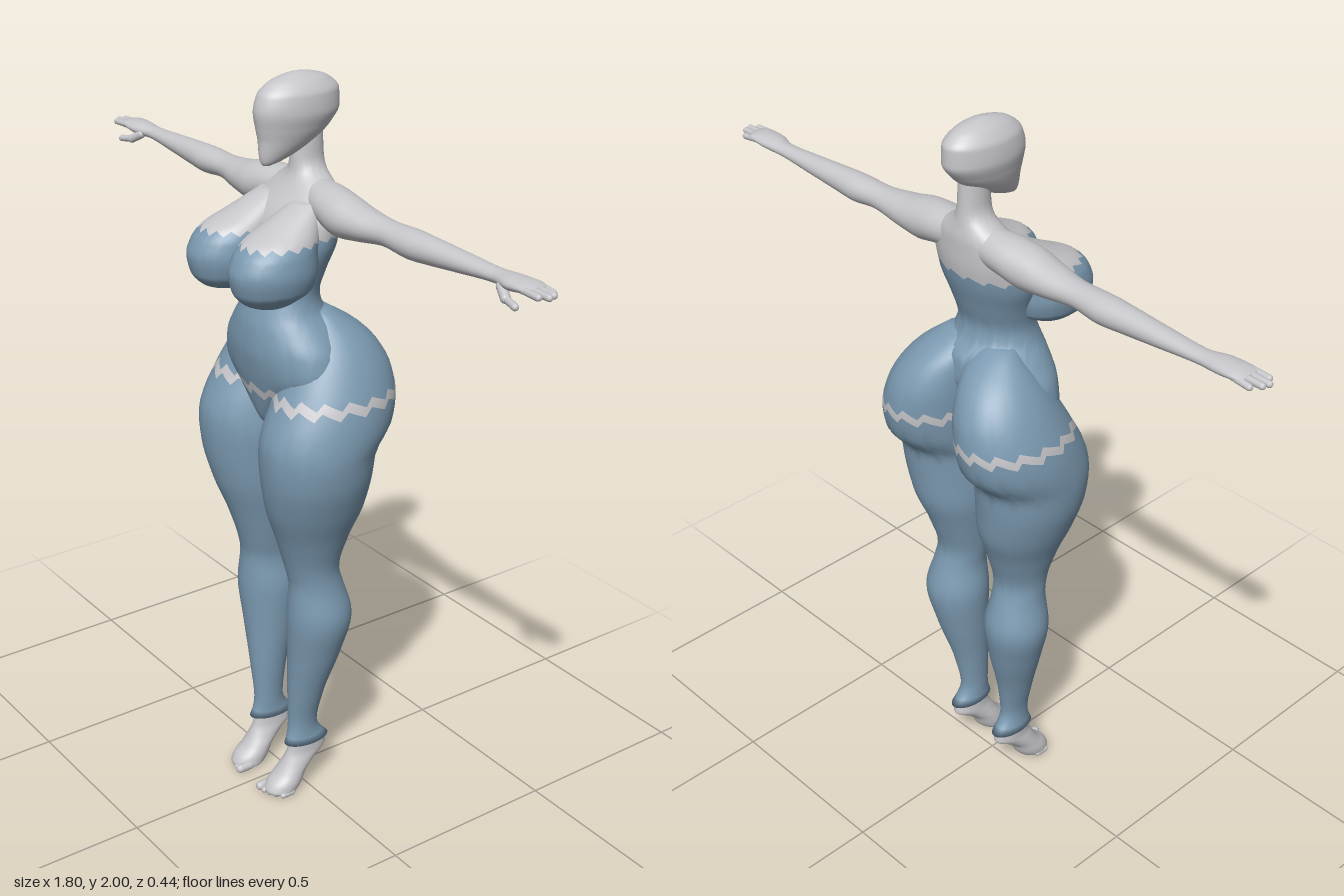
import * as THREE from 'three';

const skin = new THREE.MeshStandardMaterial({ color: 0xc6c6ca });
skin.name = 'pale grey skin';
const suit = new THREE.MeshStandardMaterial({ color: 0x7b99b0, side: THREE.DoubleSide });
suit.name = 'dusty blue suit';

const SEG = 60;

// Smooth value of column k of the cross-section rows at height y
function sample(rows, y, k) {
  let i = 0;
  while (i < rows.length - 2 && y > rows[i + 1][0]) i++;
  const slope = (a, b) => (rows[b][k] - rows[a][k]) / (rows[b][0] - rows[a][0]);
  const tangent = n => {
    if (n === 0) return slope(0, 1);
    if (n === rows.length - 1) return slope(n - 1, n);
    const p = slope(n - 1, n), q = slope(n, n + 1);
    return p * q <= 0 ? 0 : 2 * p * q / (p + q);
  };
  const h = rows[i + 1][0] - rows[i][0];
  const t = Math.min(1, Math.max(0, (y - rows[i][0]) / h));
  const t2 = t * t, t3 = t2 * t;
  return (2 * t3 - 3 * t2 + 1) * rows[i][k] + (t3 - 2 * t2 + t) * h * tangent(i)
    + (3 * t2 - 2 * t3) * rows[i + 1][k] + (t3 - t2) * h * tangent(i + 1);
}

// Saw-toothed edge of a garment
const jag = (cut, j) => cut[0] + cut[1] * ((j % 4) / 1.5 - 1);

// Surface through rows [height, xMin, xMax, zFront, zBack] between two edges
function patch(rows, low, high, capLow, capHigh) {
  const pos = [], idx = [];
  const n = Math.max(3, Math.ceil((high[0] - low[0]) / (rows.at(-1)[0] - rows[0][0]) * 64));
  for (let i = 0; i <= n; i++) {
    for (let j = 0; j < SEG; j++) {
      const y = THREE.MathUtils.lerp(jag(low, j), jag(high, j), i / n);
      const [x0, x1, zf, zb] = [1, 2, 3, 4].map(k => sample(rows, y, k));
      const a = j / SEG * Math.PI * 2;
      pos.push((x0 + x1) / 2 + (x1 - x0) / 2 * Math.cos(a), y,
        (zf + zb) / 2 + (zf - zb) / 2 * Math.sin(a));
      if (i < n) {
        const p = i * SEG + j, q = i * SEG + (j + 1) % SEG;
        idx.push(p, p + SEG, q, q, p + SEG, q + SEG);
      }
    }
  }
  const cap = (row, ring, up) => {
    const c = pos.length / 3;
    pos.push((row[1] + row[2]) / 2, row[0], (row[3] + row[4]) / 2);
    for (let j = 0; j < SEG; j++) {
      const p = ring * SEG + j, q = ring * SEG + (j + 1) % SEG;
      idx.push(c, ...(up ? [q, p] : [p, q]));
    }
  };
  if (capLow) cap(rows[0], 0, false);
  if (capHigh) cap(rows.at(-1), n, true);
  const geo = new THREE.BufferGeometry();
  geo.setAttribute('position', new THREE.Float32BufferAttribute(pos, 3));
  geo.setIndex(idx);
  geo.computeVertexNormals();
  return geo;
}

// Loft cut into coloured bands
function loft(name, rows, mats, cuts = []) {
  const group = new THREE.Group();
  group.name = name;
  const edges = [[rows[0][0], 0], ...cuts, [rows.at(-1)[0], 0]];
  mats.forEach((mat, i) => {
    const geo = patch(rows, edges[i], edges[i + 1], i === 0, i === mats.length - 1);
    const mesh = new THREE.Mesh(geo, mat);
    mesh.name = name + (mat === suit ? 'Suit' : 'Skin');
    group.add(mesh);
  });
  return group;
}

const mirror = (rows, s) => s > 0 ? rows : rows.map(([y, a, b, f, k]) => [y, -b, -a, f, k]);
const centred = rows => rows.map(([y, r, f, k]) => [y, -r, r, f, k]);

// Rounded rod between two points, used for the digits
function digit(name, from, to, radius) {
  const a = new THREE.Vector3(...from), b = new THREE.Vector3(...to);
  const d = b.clone().sub(a);
  const mesh = new THREE.Mesh(new THREE.CapsuleGeometry(radius, d.length(), 6, 12), skin);
  mesh.position.copy(a).add(b).multiplyScalar(0.5);
  mesh.quaternion.setFromUnitVectors(new THREE.Vector3(0, 1, 0), d.normalize());
  mesh.name = name;
  return mesh;
}

const headRows = centred([
  [1.782, 0.01, 0.072, 0.05], [1.79, 0.02, 0.077, 0.02], [1.81, 0.034, 0.08, -0.03],
  [1.84, 0.049, 0.081, -0.085], [1.87, 0.06, 0.086, -0.122], [1.91, 0.069, 0.092, -0.147],
  [1.95, 0.065, 0.082, -0.146], [1.98, 0.045, 0.05, -0.118], [1.995, 0.022, 0.005, -0.075],
  [2.0, 0.003, -0.025, -0.035]]);

const torsoRows = centred([
  [1.08, 0.02, 0.05, -0.05], [1.12, 0.05, 0.085, -0.08], [1.2, 0.15, 0.108, -0.1],
  [1.26, 0.2, 0.122, -0.1], [1.32, 0.19, 0.13, -0.12], [1.38, 0.15, 0.126, -0.115],
  [1.42, 0.118, 0.115, -0.08], [1.46, 0.108, 0.1, -0.07], [1.52, 0.12, 0.09, -0.085],
  [1.6, 0.145, 0.08, -0.108], [1.66, 0.148, 0.055, -0.115], [1.71, 0.125, 0.015, -0.115],
  [1.74, 0.08, -0.005, -0.11], [1.76, 0.048, -0.012, -0.107], [1.79, 0.036, -0.014, -0.104],
  [1.86, 0.034, -0.02, -0.1]]);

const breastRows = [
  [1.455, 0.085, 0.105, 0.125, 0.1], [1.462, 0.06, 0.13, 0.16, 0.07],
  [1.475, 0.035, 0.15, 0.19, 0.04], [1.505, 0.008, 0.178, 0.216, 0], [1.55, 0, 0.187, 0.225, -0.01],
  [1.59, 0.002, 0.181, 0.211, -0.01], [1.62, 0.008, 0.168, 0.182, -0.02],
  [1.65, 0.015, 0.147, 0.12, -0.03], [1.7, 0.03, 0.11, 0.02, -0.05]];

const legRows = [
  [0.145, 0.048, 0.122, 0.064, -0.074], [0.17, 0.05, 0.117, 0.055, -0.052],
  [0.2, 0.05, 0.115, 0.05, -0.037], [0.3, 0.045, 0.135, 0.054, -0.05],
  [0.45, 0.035, 0.18, 0.06, -0.09], [0.56, 0.03, 0.205, 0.066, -0.11],
  [0.66, 0.045, 0.184, 0.062, -0.085], [0.7, 0.04, 0.181, 0.07, -0.075],
  [0.8, 0.022, 0.205, 0.1, -0.1], [0.9, 0.005, 0.245, 0.136, -0.135],
  [1, 0, 0.275, 0.156, -0.146], [1.06, -0.002, 0.281, 0.16, -0.152],
  [1.09, -0.002, 0.282, 0.159, -0.178], [1.13, -0.002, 0.28, 0.148, -0.207],
  [1.2, 0, 0.268, 0.113, -0.22], [1.26, 0, 0.245, 0.083, -0.214],
  [1.32, 0, 0.212, 0.05, -0.188], [1.37, 0, 0.17, 0.02, -0.145], [1.42, 0.02, 0.11, -0.01, -0.07]];

const footRows = [
  [0, 0.055, 0.11, 0.105, 0.05], [0.012, 0.038, 0.127, 0.128, 0.03],
  [0.03, 0.038, 0.128, 0.12, 0.016], [0.06, 0.041, 0.124, 0.09, 0.002],
  [0.09, 0.047, 0.12, 0.07, -0.03], [0.12, 0.052, 0.116, 0.056, -0.067],
  [0.15, 0.055, 0.115, 0.05, -0.06], [0.19, 0.057, 0.11, 0.045, -0.032]];

// Arm sections run outward: [x, -top, -bottom, zFront, zBack]
const armRows = [
  [0.05, -1.745, -1.65, -0.01, -0.105], [0.12, -1.742, -1.64, 0.008, -0.11],
  [0.18, -1.735, -1.627, 0.014, -0.106], [0.25, -1.72, -1.635, 0.004, -0.1],
  [0.35, -1.71, -1.647, -0.015, -0.09], [0.43, -1.712, -1.64, -0.014, -0.095],
  [0.5, -1.71, -1.645, -0.02, -0.091], [0.6, -1.705, -1.655, -0.028, -0.088],
  [0.72, -1.7, -1.666, -0.036, -0.084], [0.78, -1.704, -1.668, -0.021, -0.09],
  [0.82, -1.703, -1.675, -0.02, -0.092], [0.85, -1.697, -1.681, -0.025, -0.088]];

export function createModel() {
  const model = new THREE.Group();
  model.name = 'figure';
  const neckline = [1.615, 0.006], bandLow = [1.192, 0.01], bandHigh = [1.216, 0.01];

  model.add(loft('head', headRows, [skin]));
  model.add(loft('torso', torsoRows, [suit, skin, suit, skin], [bandLow, bandHigh, neckline]));

  for (const s of [1, -1]) {
    const side = s > 0 ? 'left' : 'right';
    model.add(loft(side + 'Breast', mirror(breastRows, s), [suit, skin], [neckline]));
    model.add(loft(side + 'Leg', mirror(legRows, s), [suit, skin, suit], [bandLow, bandHigh]));
    model.add(loft(side + 'Foot', mirror(footRows, s), [skin]));

    // Toes, big toe innermost
    for (let i = 0; i < 5; i++) {
      const r = i === 0 ? 0.013 : 0.009, x = s * (0.05 + i * 0.0175);
      const z = 0.126 - i * i * 0.0018;
      model.add(digit(side + 'Toe', [x, r + 0.001, z - 0.03], [x, r, z], r));
    }

    const arm = loft(side + 'Arm', mirror(armRows, s), [skin]);
    arm.rotation.z = -s * Math.PI / 2;
    model.add(arm);

    // Fingers and thumb
    [0.878, 0.893, 0.888, 0.868].forEach((tip, i) => {
      const z = -0.03 - i * 0.0175;
      model.add(digit(side + 'Finger', [s * 0.81, 1.689, z], [s * tip, 1.686 - (i === 3 ? 0.004 : 0), z], 0.0085));
    });
    model.add(digit(side + 'Thumb', [s * 0.755, 1.675, -0.035], [s * 0.785, 1.658, -0.022], 0.012));
    model.add(digit(side + 'ThumbTip', [s * 0.785, 1.658, -0.022], [s * 0.825, 1.652, -0.014], 0.009));
  }
  return model;
}
